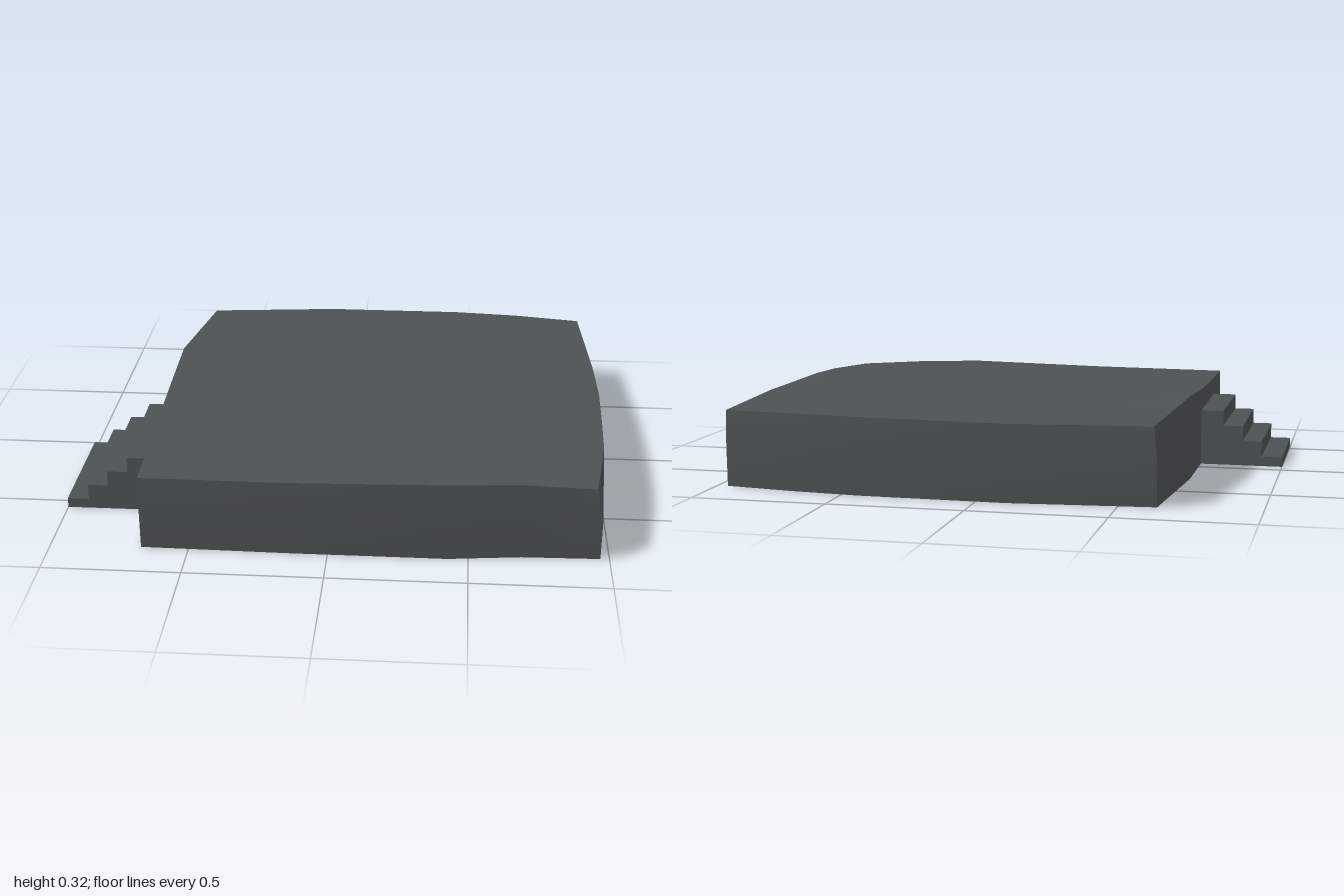
import * as THREE from 'three';

// Plan of the platform: edge positions by column (left to right) and row (back to front)
const COLUMN = [0, 0.33, 0.67, 0.83, 1];
const ROW = [0, 0.33, 0.5, 0.67, 0.8, 1];
const BACK_Z = [-0.8, -0.845, -0.835, -0.81, -0.77];
const FRONT_Z = [0.83, 0.838, 0.838, 0.807, 0.8];
const LEFT_X = [-0.635, -0.68, -0.682, -0.68, -0.676, -0.672];
const RIGHT_X = [0.96, 0.992, 1, 0.992, 0.985, 0.968];

// Uneven top, one line per row from back to front
const TOP_Y = [
  [0.28, 0.28, 0.284, 0.285, 0.282],
  [0.317, 0.28, 0.29, 0.295, 0.287],
  [0.3, 0.28, 0.297, 0.297, 0.285],
  [0.29, 0.28, 0.305, 0.306, 0.29],
  [0.283, 0.28, 0.294, 0.294, 0.285],
  [0.278, 0.282, 0.293, 0.287, 0.272],
];

function platformGeometry() {
  const geo = new THREE.BoxGeometry(1, 1, 1, 4, 2, 5);
  const p = geo.attributes.position;
  const lerp = THREE.MathUtils.lerp;
  for (let n = 0; n < p.count; n++) {
    const i = Math.round((p.getX(n) + 0.5) * 4);
    const j = Math.round((p.getY(n) + 0.5) * 2);
    const k = Math.round((p.getZ(n) + 0.5) * 5);
    let x = lerp(LEFT_X[k], RIGHT_X[k], COLUMN[i]);
    let z = lerp(BACK_Z[i], FRONT_Z[i], ROW[k]);
    // Walls bulge slightly at mid height
    if (j === 1) z *= 1.006;
    // Two opposite corners lean inward at the top
    if (j === 2 && i === 4 && k === 5) { x -= 0.024; z -= 0.01; }
    if (j === 2 && i === 0 && k === 0) { x += 0.015; z += 0.01; }
    p.setXYZ(n, x, [0, 0.15, TOP_Y[k][i]][j], z);
  }
  geo.computeVertexNormals();
  return geo;
}

// Stair profile in x and y, from the foot up to the platform
const STEPS = [[-1, 0.037], [-0.92, 0.096], [-0.845, 0.155], [-0.768, 0.214]];
const STAIR_END = -0.66, STAIR_BACK = 0.07, STAIR_FRONT = 0.55;

function stairProfile() {
  const points = [new THREE.Vector2(-1, 0)];
  STEPS.forEach(([x, y], s) => {
    points.push(new THREE.Vector2(x, y));
    points.push(new THREE.Vector2(s < 3 ? STEPS[s + 1][0] : STAIR_END, y));
  });
  return points;
}

// Treads and risers as a folded strip, open underneath
function stepStrip(points) {
  const v = [];
  for (let n = 0; n < points.length - 1; n++) {
    const a = points[n], b = points[n + 1];
    const c = [
      [a.x, a.y, STAIR_BACK], [a.x, a.y, STAIR_FRONT],
      [b.x, b.y, STAIR_FRONT], [b.x, b.y, STAIR_BACK],
    ];
    for (const q of [0, 1, 2, 0, 2, 3]) v.push(...c[q]);
  }
  const geo = new THREE.BufferGeometry();
  geo.setAttribute('position', new THREE.Float32BufferAttribute(v, 3));
  geo.computeVertexNormals();
  return geo;
}

export function createModel() {
  const stone = new THREE.MeshStandardMaterial({ color: 0x4c5253, side: THREE.DoubleSide });
  stone.name = 'dark stone';
  const model = new THREE.Group();
  model.name = 'platformWithSteps';

  const platform = new THREE.Mesh(platformGeometry(), stone);
  platform.name = 'platform';
  model.add(platform);

  // Hollow staircase: strip of steps closed by a panel on each side
  const stairs = new THREE.Group();
  stairs.name = 'stairs';
  const profile = stairProfile();
  const steps = new THREE.Mesh(stepStrip(profile), stone);
  steps.name = 'treadsAndRisers';
  stairs.add(steps);

  const outline = new THREE.Shape([...profile, new THREE.Vector2(STAIR_END, 0)]);
  for (const [name, z] of [['frontSidePanel', STAIR_FRONT], ['backSidePanel', STAIR_BACK]]) {
    const geo = new THREE.ShapeGeometry(outline);
    if (z === STAIR_BACK) {
      // Turn the back panel to face outward
      geo.index.array.reverse();
      geo.computeVertexNormals();
    }
    const panel = new THREE.Mesh(geo, stone);
    panel.name = name;
    panel.position.z = z;
    stairs.add(panel);
  }
  model.add(stairs);
  return model;
}
